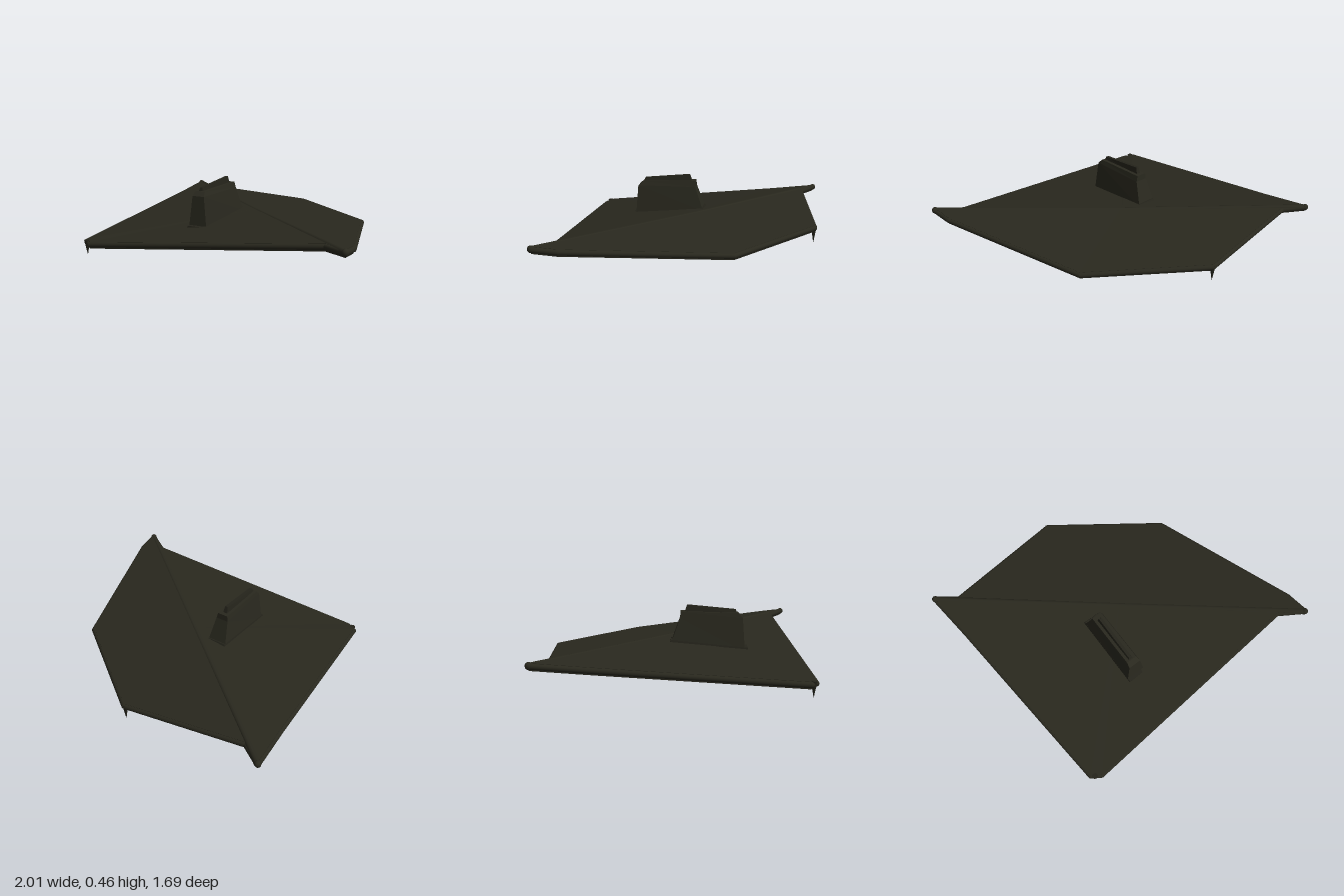
import * as THREE from 'three';

const mat = (name, color) => {
  const m = new THREE.MeshStandardMaterial({ color });
  m.name = name;
  return m;
};
const V = (a) => new THREE.Vector3(...a);
const lift = (pts, d) => pts.map(([x, y, z]) => [x, y + d, z]);

// Closed plate between two matching outlines; groups: top, rim, bottom.
function slab(name, top, bottom, mats) {
  let area = 0;
  top.forEach((p, i) => {
    const q = top[(i + 1) % top.length];
    area += p[0] * q[2] - q[0] * p[2];
  });
  if (area > 0) {
    top = [top[0], ...top.slice(1).reverse()];
    bottom = [bottom[0], ...bottom.slice(1).reverse()];
  }
  const n = top.length, pos = [], geo = new THREE.BufferGeometry();
  const tri = (...ps) => ps.forEach((p) => pos.push(...p));
  for (let i = 1; i < n - 1; i++) tri(top[0], top[i], top[i + 1]);
  for (let i = 0; i < n; i++) {
    const j = (i + 1) % n;
    tri(top[i], bottom[i], bottom[j]);
    tri(top[i], bottom[j], top[j]);
  }
  for (let i = 1; i < n - 1; i++) tri(bottom[0], bottom[i + 1], bottom[i]);
  const f = (n - 2) * 3;
  geo.addGroup(0, f, 0);
  geo.addGroup(f, n * 6, 1);
  geo.addGroup(f + n * 6, f, 2);
  geo.setAttribute('position', new THREE.Float32BufferAttribute(pos, 3));
  geo.computeVertexNormals();
  const mesh = new THREE.Mesh(geo, mats);
  mesh.name = name;
  return mesh;
}

// Bar from p to q.
function beam(name, a, b, w, h, material) {
  const mesh = new THREE.Mesh(new THREE.BoxGeometry(w, h, a.distanceTo(b)), material);
  mesh.position.copy(a).add(b).multiplyScalar(0.5);
  mesh.lookAt(b);
  mesh.name = name;
  return mesh;
}

// Rounded rod from p to q.
function rod(name, p, q, r, material) {
  const a = V(p), b = V(q), d = b.clone().sub(a);
  const mesh = new THREE.Mesh(new THREE.CapsuleGeometry(r, d.length(), 4, 10), material);
  mesh.position.copy(a).add(b).multiplyScalar(0.5);
  mesh.quaternion.setFromUnitVectors(new THREE.Vector3(0, 1, 0), d.normalize());
  mesh.name = name;
  return mesh;
}

// Rectangle in x and z, at height y0 on the z0 side and y1 on the z1 side.
const rect = (x0, x1, z0, z1, y0, y1 = y0) => [[x0, y0, z0], [x1, y0, z0], [x1, y1, z1], [x0, y1, z1]];

export function createModel() {
  const roof = mat('roof covering', 0x29281e);
  const trim = mat('edge trim', 0x25241b);
  const under = mat('dark underside', 0x22221a);
  const ceiling = mat('brown ceiling', 0xae9570);
  const model = new THREE.Group();

  // Roof corners
  const A = [-0.985, 0.235, -0.825], M = [0, 0.24, -0.01], B = [0.98, 0.265, 0.805];
  const C = [0.82, 0.255, 0.7], D = [-0.78, 0.095, 0.82], E = [-0.84, 0.1, 0.78];
  const F = [-0.95, 0.205, -0.5], A2 = [-0.85, 0.228, -0.73];
  const G = [-0.03, 0.17, -0.83], H = [0.64, 0.168, -0.34], K = [0.965, 0.25, 0.65];
  const T = -0.045;
  const front = [M, B, C, D, E, F, A], rear = [M, A, A2, G, H, K, B];
  model.add(slab('frontSlope', front, lift(front, T), [roof, trim, under]));
  model.add(slab('rearSlope', rear, lift(rear, T), [roof, trim, under]));

  // Rounded eaves and a low ridge roll
  const eaves = [[B, C], [C, D], [D, E], [E, F], [F, A], [A, A2], [A2, G], [G, H], [H, K], [K, B]];
  eaves.forEach((e) => {
    const [p, q] = lift(e, -0.019);
    model.add(rod('eaveTrim', p, q, 0.018, roof));
  });
  [[A, M], [M, B]].forEach((e) => {
    const [p, q] = lift(e, -0.018);
    model.add(rod('ridgeRoll', p, q, 0.021, roof));
  });

  // Rounded end pieces on the two ridge tips
  [[A, 0.22], [B, 0.25]].forEach(([tip, y]) => {
    const end = new THREE.Mesh(new THREE.SphereGeometry(0.022, 12, 8), roof);
    end.position.set(tip[0], y, tip[2]);
    end.name = 'ridgeEnd';
    model.add(end);
  });

  // Hanging points at the two low corners
  [['frontSpike', -0.82, 0, 0.1, 0.8], ['rearSpike', -0.035, 0.045, 0.12, -0.825]].forEach(([name, x, y, h, z]) => {
    const spike = new THREE.Mesh(new THREE.ConeGeometry(0.02, h, 8), trim);
    spike.rotation.x = Math.PI;
    spike.position.set(x, y + h / 2, z);
    spike.name = name;
    model.add(spike);
  });

  // Sloped ceiling panels with dark upstands; the rear edge is notched between its corners
  const P1 = [-0.63, 0.03, 0.5], P2 = [0.57, 0.18, 0.52], P3 = [0.45, 0.065, -0.11];
  const P4 = [-0.04, 0.06, -0.5], P5 = [-0.58, 0.16, -0.53], N = [-0.005, 0.17, -0.005];
  const R3 = [0.22, 0.105, -0.115], R4 = [-0.03, 0.1, -0.37];
  const up = (p, y) => [p[0], y, p[2]];
  const Q1 = up(P1, 0.11), Q2 = up(P2, 0.22), Q3 = up(P3, 0.17), Q4 = up(P4, 0.17), Q5 = up(P5, 0.2);
  model.add(slab('frontCeiling', [Q1, Q2, up(N, 0.21), Q5], [P1, P2, N, P5], [under, under, ceiling]));
  model.add(slab('rearCeiling', [up(N, 0.21), Q2, Q3, up(R3, 0.17), up(R4, 0.17), Q4, Q5],
    [N, P2, P3, R3, R4, P4, P5], [under, under, ceiling]));

  // Flue slot in the front ceiling
  const onCeiling = (x, z) => [x, 0.03 + 0.127 * (x + 0.63) - 0.12 * (z - 0.5), z];
  const slot = [onCeiling(-0.3, 0.49), onCeiling(-0.26, 0.49), onCeiling(-0.21, 0.24), onCeiling(-0.25, 0.24)];
  model.add(slab('flueSlot', lift(slot, 0.002), lift(slot, -0.005), [under, under, under]));

  // Shallow rafters under the overhang, stopping short of the eaves
  const bays = [[Q1, Q2, D, C, 8], [Q5, Q1, F, E, 6], [Q5, Q4, A2, G, 4], [Q4, Q3, G, H, 4], [Q3, Q2, H, K, 4]];
  bays.forEach(([a, b, c, d, n]) => {
    for (let i = 0; i < n; i++) {
      const t = (i + 0.5) / n;
      const p = V(a).lerp(V(b), t), q = V(c).lerp(V(d), t);
      p.y -= 0.02;
      q.y -= 0.045;
      model.add(beam('rafter', p, p.clone().lerp(q, 0.85), 0.025, 0.014, under));
    }
  });

  // Tapered chimney with base collar, cap and ridge vent
  const chimney = new THREE.Group();
  chimney.name = 'chimney';
  const block = (name, lo, hi, m) => chimney.add(slab(name, hi, lo, [m, m, m]));
  const body = rect(-0.245, -0.158, 0.01, 0.42, 0.38);
  block('chimneyBody', rect(-0.268, -0.132, -0.05, 0.435, 0.21, 0.16), body, roof);
  block('chimneyCollar', rect(-0.27, -0.125, -0.062, 0.46, 0.21, 0.155),
    rect(-0.265, -0.135, -0.05, 0.455, 0.235, 0.185), trim);
  block('chimneyCap', body, rect(-0.24, -0.168, 0.012, 0.39, 0.42, 0.41), roof);
  block('chimneyVent', rect(-0.222, -0.188, 0.035, 0.385, 0.4),
    rect(-0.215, -0.195, 0.055, 0.375, 0.462, 0.432), trim);
  model.add(chimney);

  return model;
}
